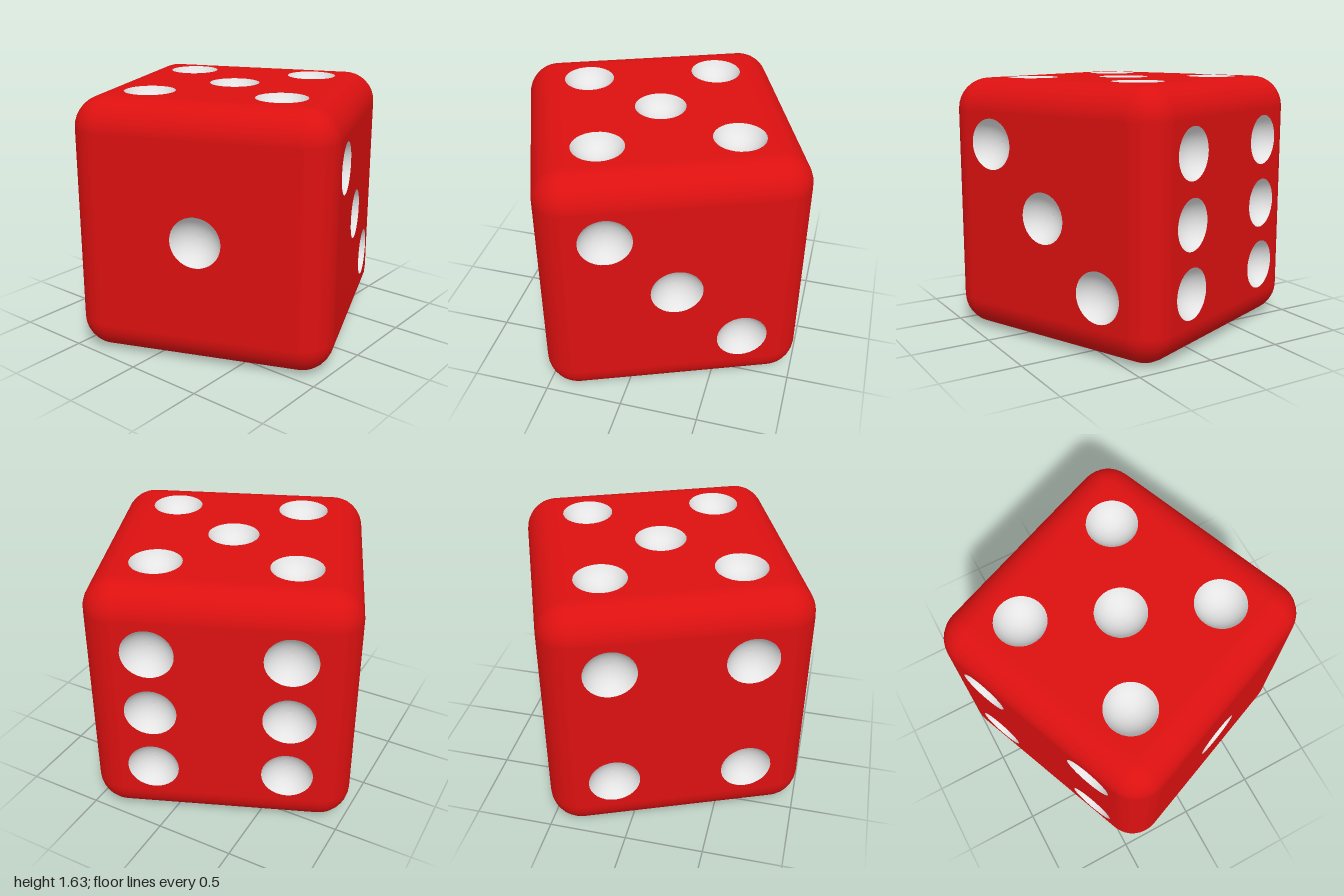
import * as THREE from 'three';

const H = 0.815;        // half the side of the die
const R = 0.2;          // rounding of edges and corners
const C = H - R;        // half the side of the flat part of a face
const D = 0.417;        // pip offset from the face centre
const PIP_R = 0.16;
const PIP_DEPTH = 0.1;
const ROUND = 8;        // steps around a rounded edge
const Q = Math.PI / 2;

const red = new THREE.MeshStandardMaterial({ color: 0xdc1010 });
red.name = 'red body';
const white = new THREE.MeshStandardMaterial({ color: 0xe4e4e4 });
white.name = 'white pips';

// Flat square face with a round hole for each pip
function faceGeometry(pips) {
  const shape = new THREE.Shape([[-C, -C], [C, -C], [C, C], [-C, C]].map(p => new THREE.Vector2(...p)));
  for (const [x, y] of pips) {
    shape.holes.push(new THREE.Path().absarc(x, y, PIP_R, 0, Math.PI * 2, true));
  }
  return new THREE.ShapeGeometry(shape, 16);
}

// Shallow spherical bowl, opening toward +z
function pipGeometry() {
  const radius = (PIP_R ** 2 + PIP_DEPTH ** 2) / (2 * PIP_DEPTH);
  const rim = Math.asin(PIP_R / radius);
  const profile = [];
  for (let i = 0; i <= 8; i++) {
    const a = rim * (1 - i / 8);
    profile.push(new THREE.Vector2(radius * Math.sin(a), radius - PIP_DEPTH - radius * Math.cos(a)));
  }
  return new THREE.LatheGeometry(profile, 32).rotateX(Q);
}

function addMesh(parent, name, geometry, material) {
  const mesh = new THREE.Mesh(geometry, material);
  mesh.name = name;
  parent.add(mesh);
  return mesh;
}

export function createModel() {
  const model = new THREE.Group();
  model.name = 'die';
  const body = new THREE.Group();
  body.name = 'body';
  body.position.y = H;
  body.rotation.y = THREE.MathUtils.degToRad(22);
  model.add(body);

  // Faces with their pips
  const four = [[-D, -D], [D, -D], [-D, D], [D, D]];
  const faces = [
    ['frontFace', 0, 0, [[-D, D], [0, 0], [D, -D]]],
    ['leftFace', 0, Q, [...four, [-D, 0], [D, 0]]],
    ['backFace', 0, 2 * Q, four],
    ['rightFace', 0, -Q, [[0, 0]]],
    ['topFace', -Q, 0, [...four, [0, 0]]],
    ['bottomFace', Q, 0, [[D, -D], [-D, D]]],
  ];
  const bowl = pipGeometry();
  for (const [name, rx, ry, pips] of faces) {
    const face = new THREE.Group();
    face.name = name;
    face.rotation.set(rx, ry, 0);
    body.add(face);
    addMesh(face, 'panel', faceGeometry(pips), red).position.z = H;
    for (const [x, y] of pips) addMesh(face, 'pip', bowl, white).position.set(x, y, H);
  }

  // Rounded edges: four along each axis
  const edge = new THREE.CylinderGeometry(R, R, 2 * C, ROUND, 1, true, 0, Q).translate(C, 0, C);
  for (const [rx, rz] of [[0, 0], [Q, 0], [0, Q]]) {
    const set = new THREE.Group();
    set.name = 'edges';
    set.rotation.set(rx, 0, rz);
    body.add(set);
    for (let i = 0; i < 4; i++) addMesh(set, 'edge', edge, red).rotation.y = i * Q;
  }

  // Rounded corners: four on top, four below
  const corner = new THREE.SphereGeometry(R, ROUND, ROUND, Q, Q, 0, Q).translate(C, C, C);
  for (const rx of [0, Math.PI]) {
    const set = new THREE.Group();
    set.name = 'corners';
    set.rotation.x = rx;
    body.add(set);
    for (let i = 0; i < 4; i++) addMesh(set, 'corner', corner, red).rotation.y = i * Q;
  }
  return model;
}
